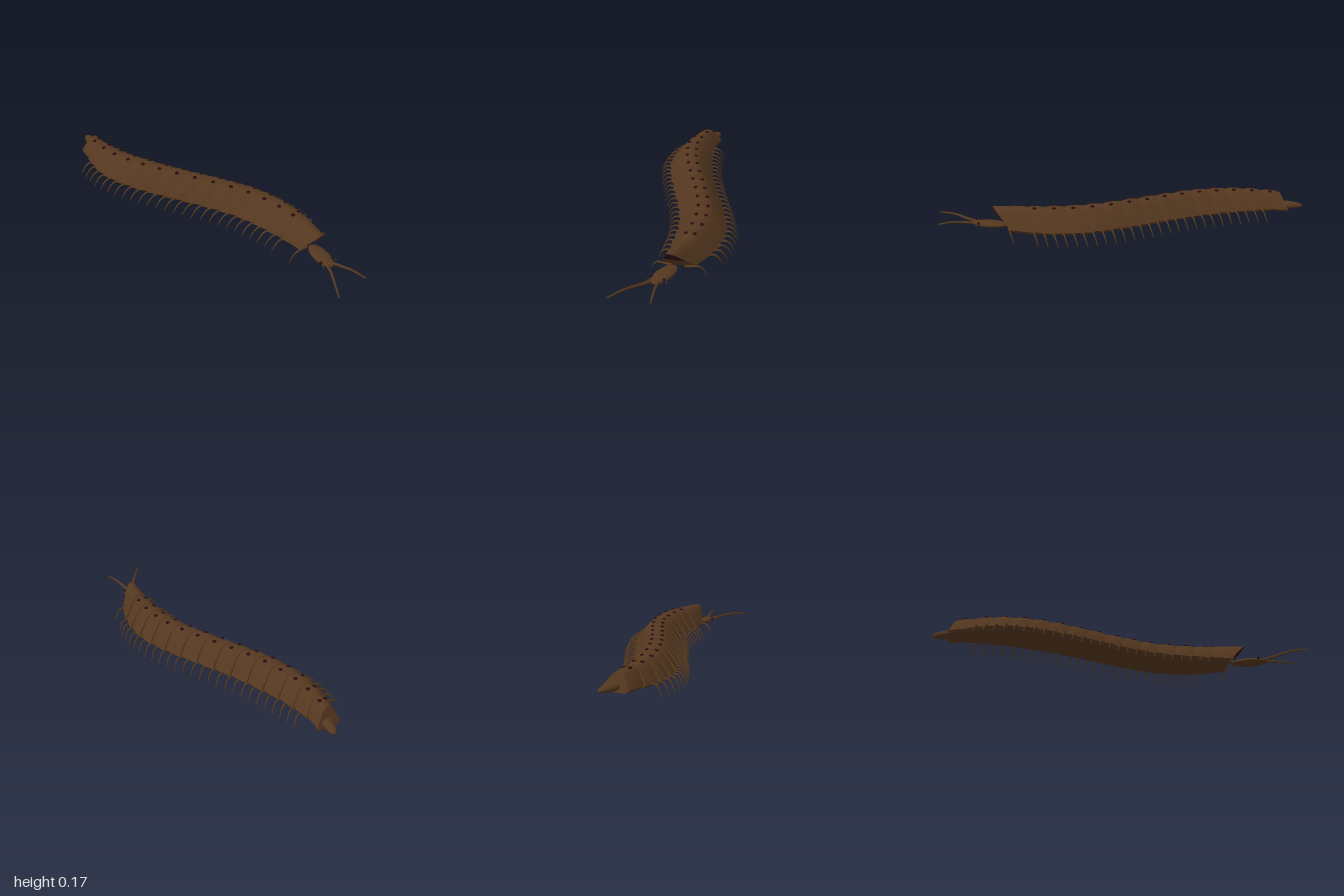
import * as THREE from 'three';
import { toCreasedNormals } from 'three/addons/utils/BufferGeometryUtils.js';

const mat = (name, color) => new THREE.MeshStandardMaterial({ name, color });

// Piecewise-linear lookup through [z, value] pairs, z descending
function lookup(table, z) {
  if (z >= table[0][0]) return table[0][1];
  for (let i = 1; i < table.length; i++) {
    const [z0, v0] = table[i - 1], [z1, v1] = table[i];
    if (z >= z1) return v0 + (v1 - v0) * (z0 - z) / (z0 - z1);
  }
  return table[table.length - 1][1];
}

// S-shaped centre line, half width and top height along the body
const spine = new THREE.CatmullRomCurve3([
  [0.01, 0.8], [0.05, 0.7], [0.077, 0.6], [0.102, 0.49], [0.114, 0.34], [0.1, 0.19], [0.04, -0.01],
  [-0.035, -0.21], [-0.1, -0.41], [-0.135, -0.6], [-0.132, -0.72], [-0.112, -0.84], [-0.06, -1],
].map(([x, z]) => new THREE.Vector3(x, 0, z)));
const spineTable = spine.getPoints(120).map(p => [p.z, p.x]);
const centre = z => lookup(spineTable, z);
const widths = [[0.71, 0.07], [0.6, 0.088], [0.5, 0.105], [0.4, 0.12], [0.25, 0.126], [-0.5, 0.125],
  [-0.62, 0.115], [-0.72, 0.1], [-0.82, 0.078], [-0.92, 0.067]];
const heights = [[0.71, 0.157], [0.6, 0.163], [0.45, 0.166], [-0.4, 0.165], [-0.62, 0.156], [-0.9, 0.138]];
const BOTTOM = 0.043;

// Half cross-section: fraction of half width, fraction of height
const half = [[0.85, 0], [1, 0.13], [0.85, 0.34], [0.68, 0.54], [0.47, 0.78], [0.29, 0.94], [0.12, 1]];
const profile = [...half, ...half.slice().reverse().map(([f, h]) => [-f, h])];

// Slanted ring: the top leans forward, the lower edge trails back
function ring(z, slant, ws = 1, drop = 0, section = profile) {
  const top = lookup(heights, z) - drop;
  return section.map(([f, h]) => {
    const pz = z - slant * (1 - h);
    return [centre(pz) + f * ws * lookup(widths, pz), BOTTOM + h * (top - BOTTOM), pz];
  });
}

// Closed solid through rings ordered front to back
function loft(rings) {
  const n = rings[0].length, index = [], last = (rings.length - 1) * n;
  for (let j = 0; j < rings.length - 1; j++) {
    for (let i = 0; i < n; i++) {
      const a = j * n + i, b = j * n + (i + 1) % n;
      index.push(a, a + n, b, b, a + n, b + n);
    }
  }
  for (let i = 1; i < n - 1; i++) {
    index.push(0, i, i + 1, last, last + i + 1, last + i);
  }
  const g = new THREE.BufferGeometry();
  g.setAttribute('position', new THREE.Float32BufferAttribute(rings.flat(2), 3));
  g.setIndex(index);
  return toCreasedNormals(g, 0.7);
}

// Tube that narrows from r0 to r1
function taperTube(points, r0, r1, segs = 8, sides = 6) {
  const curve = new THREE.CatmullRomCurve3(points.map(p => new THREE.Vector3(...p)));
  const g = new THREE.TubeGeometry(curve, segs, 1, sides);
  const pos = g.attributes.position, v = new THREE.Vector3();
  for (let i = 0; i < pos.count; i++) {
    const t = Math.floor(i / (sides + 1)) / segs, c = curve.getPointAt(t);
    v.fromBufferAttribute(pos, i).sub(c).multiplyScalar(r0 + (r1 - r0) * t).add(c);
    pos.setXYZ(i, v.x, v.y, v.z);
  }
  g.computeVertexNormals();
  return g;
}

export function createModel() {
  const model = new THREE.Group();
  const brown = mat('shell brown', 0x54371f);
  const maroon = mat('dark maroon', 0x2a0b10);
  const add = (name, geometry, material, parent = model) => {
    const mesh = new THREE.Mesh(geometry, material);
    mesh.name = name;
    parent.add(mesh);
    return mesh;
  };
  const ball = new THREE.SphereGeometry(1, 20, 14);
  const ellipsoid = (name, material, p, s, yaw = 0) => {
    const m = add(name, ball, material);
    m.position.set(...p);
    m.scale.set(...s);
    m.rotation.y = yaw;
    return m;
  };

  // Collar plate with a dark opening at its front
  add('collar', loft([ring(0.705, 0.1), ring(0.64, 0.075), ring(0.58, 0.055, 1.02),
    ring(0.535, 0.04, 1.04, 0.002)]), brown);
  const upper = profile.filter(([, h]) => h > 0.5);
  add('collarOpening', loft([ring(0.709, 0.1, 0.97, 0.002, upper),
    ring(0.703, 0.1, 0.97, 0.002, upper)]), maroon);

  // Overlapping body plates, each with a pair of dark pores
  const SEGMENTS = 14, step = 0.1008;
  for (let i = 0; i < SEGMENTS; i++) {
    const z = 0.49 - i * step, slant = 0.035;
    add('bodyPlate', loft([
      ring(z + 0.056, slant, 0.9, 0.011), ring(z + 0.03, slant, 0.96, 0.003),
      ring(z, slant, 1, 0), ring(z - 0.03, slant, 1.02, 0.002), ring(z - 0.056, slant, 1.03, 0.006),
    ]), brown);
    for (const s of [-1, 1]) {
      const off = 0.2 * lookup(widths, z);
      ellipsoid('pore', maroon, [centre(z) + s * off, lookup(heights, z) - 0.003, z], [0.011, 0.006, 0.011]);
    }
  }

  // Legs: out sideways from the lower edge, then bent down to the ground
  const addLegs = z => {
    const w = lookup(widths, z), c = centre(z);
    for (const s of [-1, 1]) {
      const at = (off, y, dz) => [c + s * (w + off), y, z + dz];
      add('leg', taperTube([at(-0.05, 0.052, 0.005), at(0.018, 0.058, 0), at(0.032, 0.05, -0.004),
        at(0.058, 0.002, -0.018)], 0.008, 0.002), brown);
    }
  };
  addLegs(0.62);
  for (let i = 0; i < SEGMENTS - 1; i++) {
    const z = 0.49 - i * step;
    addLegs(z + 0.005);
    addLegs(z - 0.045);
  }

  // Flat head, eyes and feelers
  ellipsoid('head', brown, [0.028, 0.055, 0.725], [0.044, 0.017, 0.1], -0.33);
  for (const s of [-1, 1]) {
    const eye = [0.01 + s * 0.034, 0.062, 0.775 + s * 0.01];
    ellipsoid('eye', maroon, eye, [0.008, 0.008, 0.008]);
    add('mouthFeeler', taperTube([[0.01 + s * 0.022, 0.055, 0.77], [0.01 + s * 0.042, 0.056, 0.785],
      [0.01 + s * 0.05, 0.052, 0.802]], 0.004, 0.002), brown);
  }
  add('rightAntenna', taperTube([[0, 0.053, 0.78], [-0.05, 0.064, 0.85], [-0.11, 0.071, 0.92],
    [-0.174, 0.062, 0.998]], 0.009, 0.004, 14, 8), brown);
  add('leftAntenna', taperTube([[0.016, 0.053, 0.78], [0.022, 0.064, 0.85], [0.028, 0.071, 0.92],
    [0.035, 0.062, 0.998]], 0.009, 0.004, 14, 8), brown);

  // Tail tip
  ellipsoid('tail', brown, [-0.082, 0.067, -0.91], [0.03, 0.02, 0.092], -0.33);

  return model;
}
